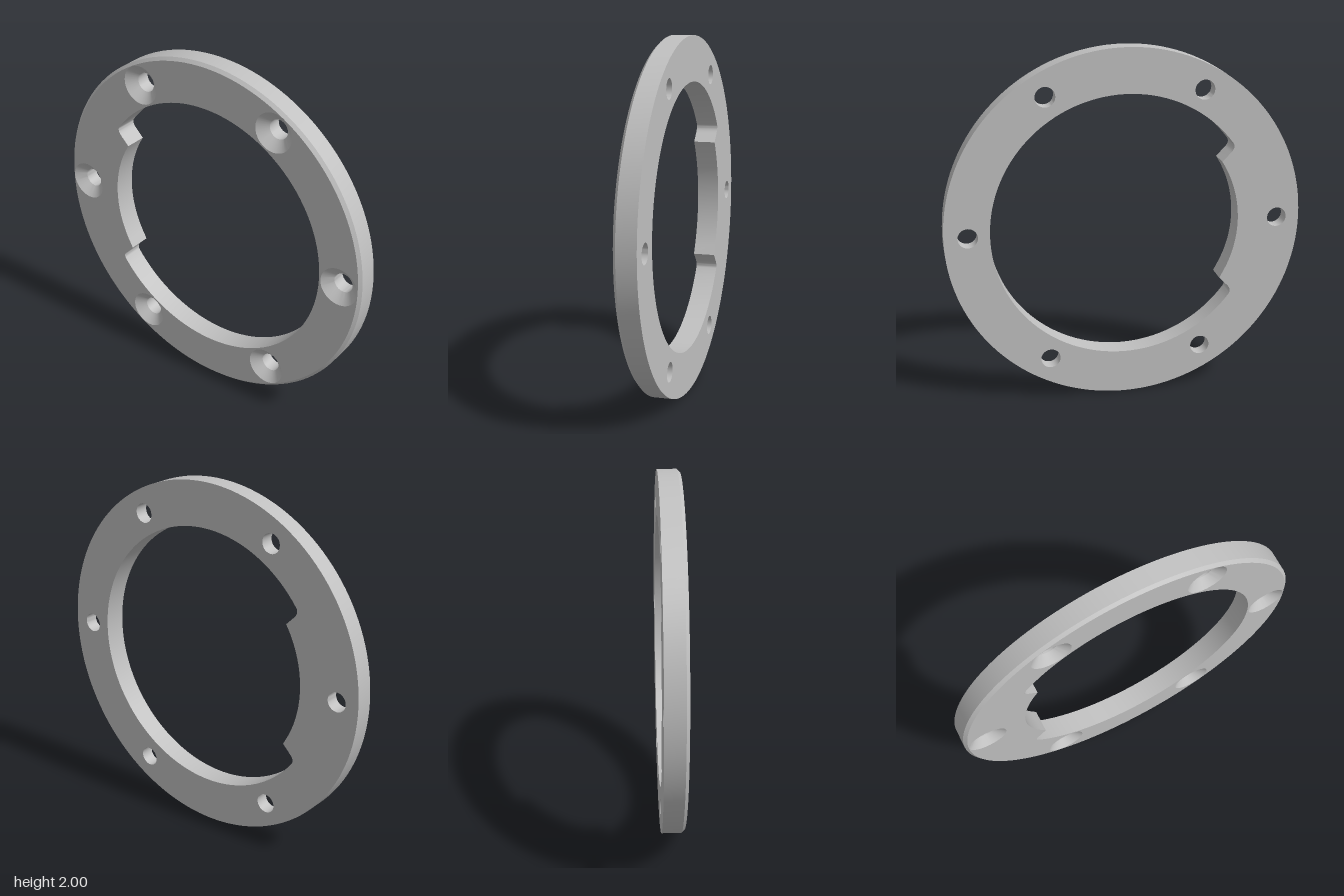
import * as THREE from 'three';
import { mergeGeometries, toCreasedNormals } from 'three/addons/utils/BufferGeometryUtils.js';

const FRONT = 0.0625, BACK = -0.0625;
const CHAMFER = 0.017;
const BOLT_RADIUS = 0.87;

// Counter-clockwise arc as a list of points, end point left out
function arc(r, from, to, n, cx = 0, cy = 0) {
  return Array.from({ length: n }, (_, i) => {
    const a = from + ((to - from) * i) / n;
    return new THREE.Vector2(cx + r * Math.cos(a), cy + r * Math.sin(a));
  });
}
const circle = (r, n, cx, cy) => arc(r, 0, Math.PI * 2, n, cx, cy);

// Wall between two matching loops; faces outward, or inward for openings
function wall(a, za, b, zb, inward = false) {
  const pos = [];
  for (let i = 0; i < a.length; i++) {
    const j = (i + 1) % a.length;
    const [s, t] = inward ? [j, i] : [i, j];
    const A = [a[s].x, a[s].y, za], B = [b[s].x, b[s].y, zb];
    const C = [b[t].x, b[t].y, zb], D = [a[t].x, a[t].y, za];
    pos.push(...A, ...B, ...C, ...A, ...C, ...D);
  }
  const g = new THREE.BufferGeometry();
  g.setAttribute('position', new THREE.Float32BufferAttribute(pos, 3));
  return g;
}

// Flat face with openings
function cap(outer, holes, z, flip) {
  const shape = new THREE.Shape(outer);
  shape.holes = holes.map((h) => new THREE.Path(h));
  const g = new THREE.ShapeGeometry(shape);
  g.translate(0, 0, z);
  if (flip) g.index.array.reverse();
  const flat = g.toNonIndexed();
  flat.deleteAttribute('uv');
  flat.deleteAttribute('normal');
  return flat;
}

// Bore outline: a large arc, two filleted notches and a smaller arc on one side
function boreOutline() {
  const notchAngle = Math.atan2(0.45, -0.6);
  const tipAngle = Math.atan2(0.345, -0.544);
  const fillet = new THREE.QuadraticBezierCurve(
    new THREE.Vector2(-0.6, 0.45),
    new THREE.Vector2(-0.622, 0.424),
    new THREE.Vector2(-0.59, 0.392)
  ).getPoints(8);
  const mirrored = fillet.map((p) => new THREE.Vector2(p.x, -p.y)).reverse();
  mirrored.pop();
  return [
    ...arc(0.75, -notchAngle, notchAngle, 96),
    ...fillet,
    ...arc(0.642, tipAngle, Math.PI * 2 - tipAngle, 24),
    new THREE.Vector2(-0.544, -0.345),
    ...mirrored,
  ];
}

export function createModel() {
  const metal = new THREE.MeshStandardMaterial({ color: 0xc0c0c0 });
  metal.name = 'grey metal';
  const model = new THREE.Group();
  model.name = 'flangeRing';

  const add = (name, parts) => {
    const mesh = new THREE.Mesh(toCreasedNormals(mergeGeometries(parts), 0.5), metal);
    mesh.name = name;
    model.add(mesh);
  };

  const rim = circle(1, 144);
  const frontRim = circle(1 - CHAMFER, 144);
  const bore = boreOutline();
  const centres = circle(BOLT_RADIUS, 6);
  const holes = centres.map((c) => circle(0.055, 36, c.x, c.y));
  const sinks = centres.map((c) => circle(0.111, 36, c.x, c.y));

  // Flat faces
  add('frontFace', [cap(frontRim, [bore, ...sinks], FRONT, false)]);
  add('backFace', [cap(rim, [bore, ...holes], BACK, true)]);

  // Outer edge with a chamfer at the front
  add('outerRim', [
    wall(frontRim, FRONT, rim, FRONT - CHAMFER),
    wall(rim, FRONT - CHAMFER, rim, BACK),
  ]);
  add('notchedBore', [wall(bore, FRONT, bore, BACK, true)]);

  // Countersunk screw holes
  holes.forEach((hole, i) => {
    add('screwHole' + (i + 1), [
      wall(sinks[i], FRONT, hole, 0.015, true),
      wall(hole, 0.015, hole, BACK, true),
    ]);
  });

  // Ring stands on edge, turned about the vertical axis
  model.rotation.y = -Math.PI / 6;
  model.position.y = 1;
  return model;
}
